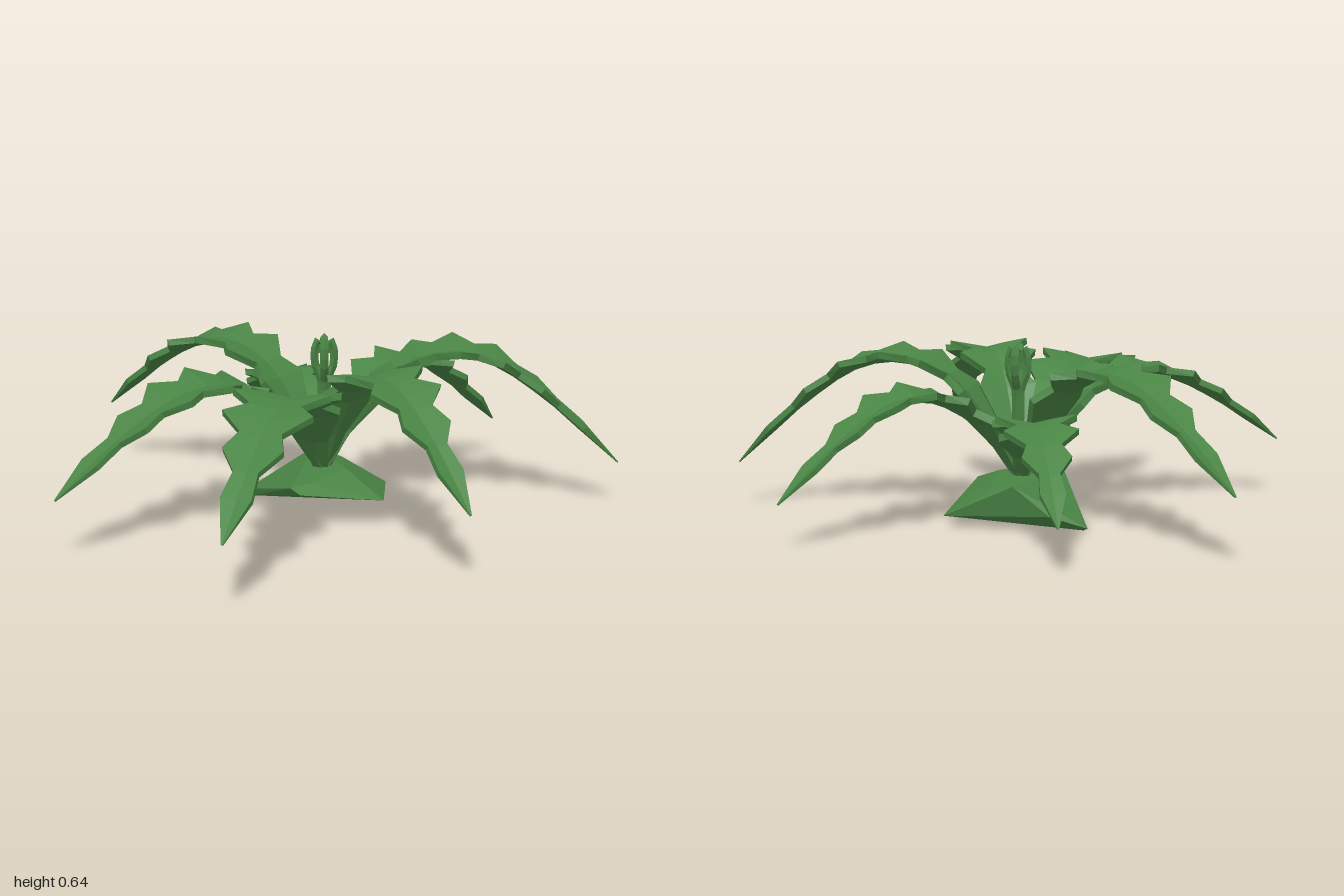
import * as THREE from 'three';
import { ConvexGeometry } from 'three/addons/geometries/ConvexGeometry.js';

const leafGreen = new THREE.MeshStandardMaterial({ color: 0x4a8545, flatShading: true });
leafGreen.name = 'leaf green';

const CENTRE = new THREE.Vector3(0.04, 0, 0.04);
const UP = new THREE.Vector3(0, 1, 0);

// Outline of a frond: distance along it and half width, alternating tooth and notch
const OUTLINE = [
  [0, 0.025], [0.08, 0.045], [0.18, 0.11], [0.235, 0.07], [0.315, 0.15], [0.37, 0.085],
  [0.44, 0.155], [0.505, 0.08], [0.58, 0.14], [0.645, 0.065], [0.715, 0.092],
  [0.785, 0.038], [0.87, 0.047], [1, 0.003],
];

// Tip position and arch height of each frond
const FRONDS = [
  { name: 'backFrond', tip: [-0.12, 0.24, -0.96], peak: 0.57 },
  { name: 'backLeftFrond', tip: [0.4, 0.16, -0.73], peak: 0.41 },
  { name: 'leftFrond', tip: [0.98, 0.16, 0.07], peak: 0.48 },
  { name: 'frontLeftFrond', tip: [0.8, 0.17, 0.79], peak: 0.58 },
  { name: 'frontFrond', tip: [-0.23, 0.25, 0.95], peak: 0.57 },
  { name: 'frontRightFrond', tip: [-0.94, 0.24, 0.58], peak: 0.52 },
  { name: 'rightFrond', tip: [-1, 0.22, -0.16], peak: 0.52 },
];

// Thick serrated leaf with a shallow V section, swept along an arching spine
function makeFrond({ name, tip, peak }) {
  const [tx, ty, tz] = tip;
  const out = new THREE.Vector3(tx - CENTRE.x, 0, tz - CENTRE.z);
  const reach = out.length();
  out.normalize();
  const side = out.clone().cross(UP);
  const drop = peak - ty;
  const spine = new THREE.SplineCurve([
    [0, 0.17], [0.1, 0.17 + (peak - 0.17) * 0.42], [0.23, peak - 0.07], [0.4, peak],
    [0.57, ty + drop * 0.93], [0.74, ty + drop * 0.64], [0.88, ty + drop * 0.32], [1, ty],
  ].map(([u, y]) => new THREE.Vector2(u * reach, y)));
  const samples = spine.getPoints(200);

  const rings = OUTLINE.map(([u, w]) => {
    let i = samples.findIndex((p) => p.x >= u * reach - 1e-6);
    if (i < 0) i = 200;
    const p = samples[i];
    const a = samples[Math.max(i - 1, 0)], b = samples[Math.min(i + 1, 200)];
    const t = b.clone().sub(a).normalize();
    const normal = out.clone().multiplyScalar(-t.y).addScaledVector(UP, t.x);
    const half = w * (0.3 + 0.7 * reach);
    const thick = u === 1 ? 0.004 : 0.03 - 0.012 * u;
    const point = (s, lift) => CENTRE.clone().addScaledVector(out, p.x).addScaledVector(UP, p.y)
      .addScaledVector(side, s * half).addScaledVector(normal, lift);
    const rise = half * 0.2;
    return [
      point(-1, rise), point(0, 0), point(1, rise),
      point(1, rise - thick), point(0, -thick), point(-1, rise - thick),
    ];
  });

  const pos = [];
  const tri = (...pts) => pts.forEach((v) => pos.push(v.x, v.y, v.z));
  for (let i = 0; i < rings.length - 1; i++) {
    for (let k = 0; k < 6; k++) {
      const n = (k + 1) % 6;
      tri(rings[i][k], rings[i][n], rings[i + 1][n]);
      tri(rings[i][k], rings[i + 1][n], rings[i + 1][k]);
    }
  }
  const geo = new THREE.BufferGeometry();
  geo.setAttribute('position', new THREE.Float32BufferAttribute(pos, 3));
  geo.computeVertexNormals();
  const mesh = new THREE.Mesh(geo, leafGreen);
  mesh.name = name;
  return mesh;
}

// Young shoot that bows outward by the given amount and curls back in at the top
function makeShoot(angle, bow) {
  const path = new THREE.CatmullRomCurve3([
    [0.2, 0.18], [0.25, 0.4], [0.35, 0.48], [0.85, 0.52],
    [1, 0.57], [0.75, 0.615], [0.35, 0.625], [0.2, 0.575],
  ].map(([r, y]) => new THREE.Vector3(r * bow, y, 0)));
  const mesh = new THREE.Mesh(new THREE.TubeGeometry(path, 16, 0.014, 4), leafGreen);
  mesh.name = 'curledShoot';
  mesh.position.set(0.05, 0, 0.04);
  mesh.rotation.y = angle;
  return mesh;
}

export function createModel() {
  const model = new THREE.Group();
  model.name = 'fern';

  // Tilted faceted slab under the plant
  const slab = new THREE.Mesh(new ConvexGeometry([
    [-0.2, 0.13, 0.17], [-0.2, 0.145, 0.12], [-0.14, 0.155, 0.15], [0.03, 0.1, 0.35],
    [0.34, 0.04, 0.08], [0.24, 0.13, -0.05], [0.19, 0.165, -0.14], [0.09, 0.06, -0.22],
    [-0.03, 0.015, -0.28], [-0.04, 0, -0.24], [0.06, 0.165, 0.14],
  ].map((p) => new THREE.Vector3(...p))), leafGreen);
  slab.name = 'baseSlab';
  model.add(slab);

  // Arching fronds
  const fronds = new THREE.Group();
  fronds.name = 'fronds';
  FRONDS.forEach((f) => fronds.add(makeFrond(f)));
  model.add(fronds);

  // Curled shoots in the middle, spread widest along one diagonal
  const shoots = new THREE.Group();
  shoots.name = 'curledShoots';
  for (let i = 0; i < 4; i++) {
    shoots.add(makeShoot(Math.PI / 4 + (i * Math.PI) / 2, i % 2 ? 0.035 : 0.062));
  }
  model.add(shoots);

  return model;
}
